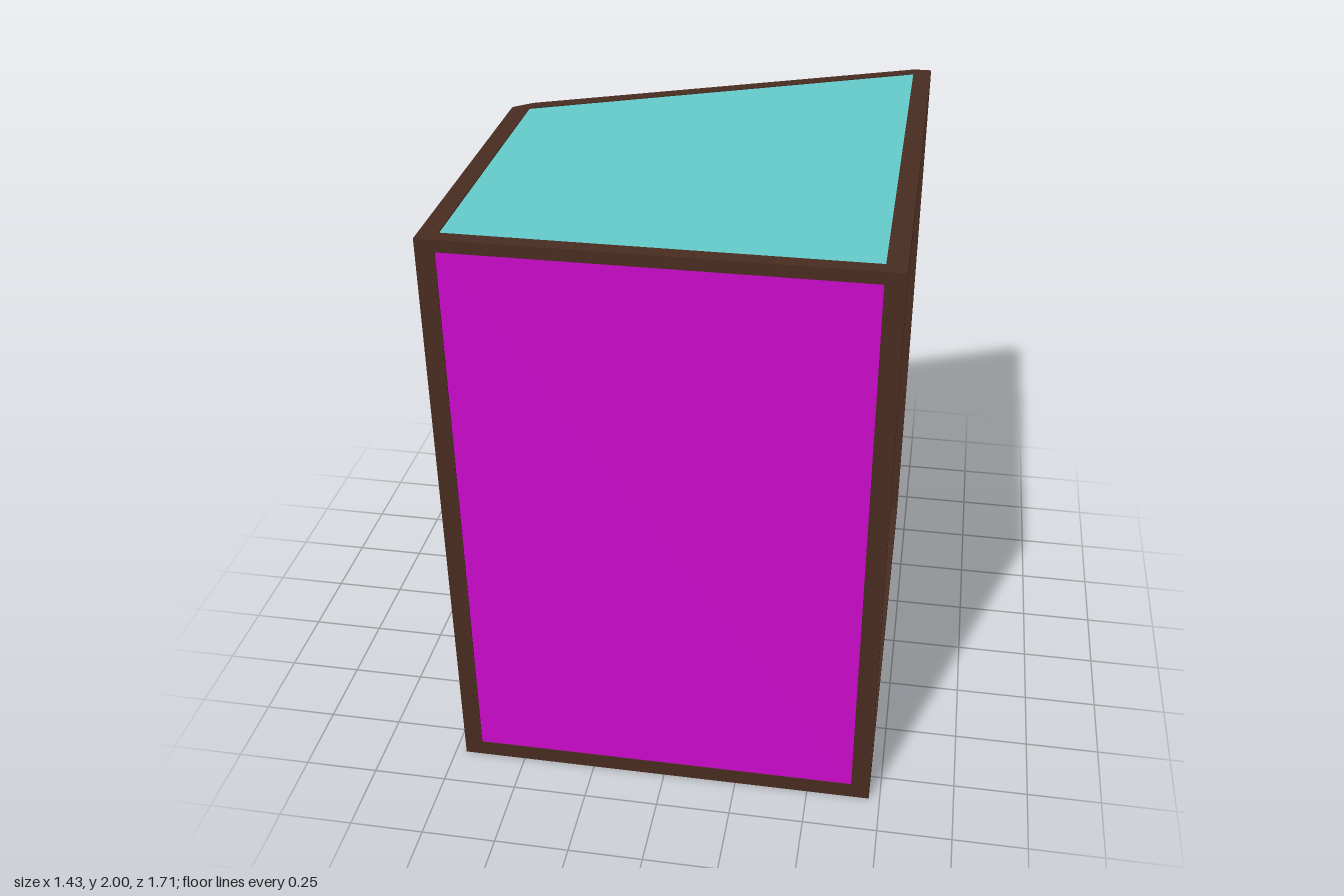
import * as THREE from 'three';

const FLOOR = 0.055, BEAM = 1.96, TOP = 2;
const brown = new THREE.MeshStandardMaterial({ color: 0x4a2c20 });
const teal = new THREE.MeshStandardMaterial({ color: 0x66cccc });
const magenta = new THREE.MeshStandardMaterial({ color: 0xcc0acc });

// Plan outline of the cabinet and the clear space inside its frame, as [x, z]
const OUTER = [[-0.713, 0.857], [0.713, 0.857], [0.713, -0.857], [0.65, -0.857], [-0.652, -0.287], [-0.713, -0.235]];
const INNER = [[-0.652, 0.807], [0.65, 0.807], [0.65, -0.81], [-0.652, -0.235]];

const toPlan = (points) => points.map(([x, z]) => new THREE.Vector2(x, -z));

// Upright prism over a plan outline
function prism(name, material, points, y0, y1, hole) {
  const shape = new THREE.Shape(toPlan(points));
  if (hole) shape.holes.push(new THREE.Path(toPlan(hole)));
  const geometry = new THREE.ExtrudeGeometry(shape, { depth: y1 - y0, bevelEnabled: false });
  geometry.rotateX(-Math.PI / 2).translate(0, y0, 0);
  const mesh = new THREE.Mesh(geometry, material);
  mesh.name = name;
  return mesh;
}

// Thin upright panel just inside the outer line a-b, thickened towards (dx, dz)
function panel(name, material, [ax, az], [bx, bz], dx, dz) {
  const at = (x, z, d) => [x + dx * d, z + dz * d];
  const points = [at(ax, az, 0.003), at(bx, bz, 0.003), at(bx, bz, 0.011), at(ax, az, 0.011)];
  return prism(name, material, points, FLOOR, BEAM);
}

export function createModel() {
  const model = new THREE.Group();
  model.name = 'cabinet';

  // Solid floor and the ring of beams at the top
  model.add(prism('floor', brown, OUTER, 0, FLOOR));
  model.add(prism('topFrame', brown, OUTER, BEAM, TOP, INNER));

  // Corner posts
  const [o0, o1, o2, o3, o4, o5] = OUTER;
  const [i0, i1, i2, i3] = INNER;
  const posts = {
    frontRightPost: [o0, [i0[0], o0[1]], i0, [o0[0], i0[1]]],
    frontLeftPost: [[i1[0], o1[1]], o1, [o1[0], i1[1]], i1],
    backLeftPost: [i2, [o2[0], i2[1]], o2, o3],
    backRightPost: [o5, i3, o4],
  };
  for (const [name, points] of Object.entries(posts)) {
    model.add(prism(name, brown, points, FLOOR, BEAM));
  }

  // Panels; the +x side stays open
  model.add(panel('frontPanel', magenta, [i0[0], o0[1]], [i1[0], o1[1]], 0, -1));
  model.add(panel('sidePanel', teal, [o0[0], i0[1]], o5, 1, 0));
  model.add(panel('backPanel', teal, o3, o4, 0, 1));
  model.add(prism('topPanel', teal, INNER, TOP - 0.011, TOP - 0.003));
  return model;
}
